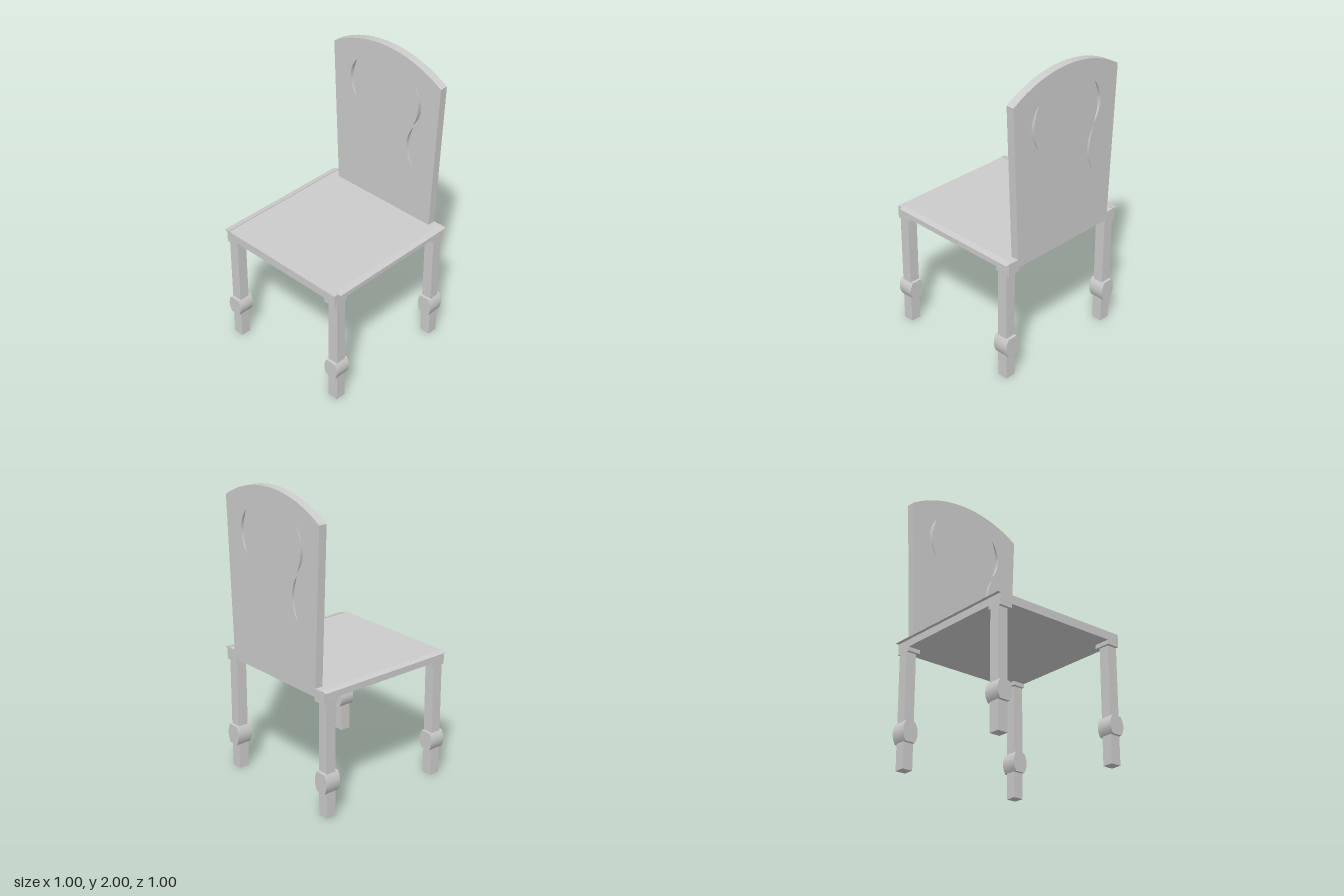
import * as THREE from 'three';

const material = new THREE.MeshStandardMaterial({ color: 0xcccccc, side: THREE.DoubleSide });

function add(group, geometry, name) {
  const mesh = new THREE.Mesh(geometry, material);
  mesh.name = name;
  group.add(mesh);
}

function box(x0, x1, y0, y1, z0, z1) {
  return new THREE.BoxGeometry(x1 - x0, y1 - y0, z1 - z0)
    .translate((x0 + x1) / 2, (y0 + y1) / 2, (z0 + z1) / 2);
}

// Extrudes a (z, y) profile along x, from x0 to x1
function extrudeX(shape, x0, x1) {
  return new THREE.ExtrudeGeometry(shape, { depth: x1 - x0, bevelEnabled: false, curveSegments: 16 })
    .rotateY(-Math.PI / 2).translate(x1, 0, 0);
}

// Crescent between two bowed curves that share their tips
function crescent(side, tip, yTop, yBottom, outer, inner) {
  const mid = (yTop + yBottom) / 2;
  const path = new THREE.Path();
  path.moveTo(side * tip, yTop);
  path.quadraticCurveTo(side * (2 * outer - tip), mid, side * tip, yBottom);
  path.quadraticCurveTo(side * (2 * inner - tip), mid, side * tip, yTop);
  return path;
}
const upperCut = (side) => crescent(side, 0.24, 1.82, 1.535, 0.299, 0.273);
const lowerCut = (side) => crescent(side, 0.243, 1.522, 1.225, 0.19, 0.211);

// Tapered back panel with an arched top; lowerSides lists which lower crescents are cut
function backShape(lowerSides) {
  const halfWidth = 0.445, shoulder = 1.87, rise = 0.13;
  const radius = (halfWidth ** 2 + rise ** 2) / (2 * rise);
  const angle = Math.asin(halfWidth / radius);
  const shape = new THREE.Shape();
  shape.moveTo(-0.4, 0.795);
  shape.lineTo(0.4, 0.795);
  shape.lineTo(halfWidth, shoulder);
  shape.absarc(0, 2 - radius, radius, Math.PI / 2 - angle, Math.PI / 2 + angle, false);
  shape.closePath();
  shape.holes.push(upperCut(1), upperCut(-1), ...lowerSides.map(lowerCut));
  return shape;
}

// Barrel-sided knob profile around a leg
function knobShape(yBottom) {
  const top = 0.305, mid = (top + yBottom) / 2;
  const shape = new THREE.Shape();
  shape.moveTo(-0.035, yBottom);
  shape.lineTo(0.035, yBottom);
  shape.quadraticCurveTo(0.074, mid, 0.035, top);
  shape.lineTo(-0.035, top);
  shape.quadraticCurveTo(-0.074, mid, -0.035, yBottom);
  return shape;
}

export function createModel() {
  const chair = new THREE.Group();
  chair.name = 'chair';

  // Seat slab with thin sloping lips along both sides
  add(chair, box(-0.5, 0.5, 0.795, 0.852, -0.48, 0.48), 'seat');
  for (const side of [1, -1]) {
    const lip = new THREE.Shape([
      [0.46, 0.857], [0.5, 0.849], [0.5, 0.846], [0.46, 0.842],
    ].map(([z, y]) => new THREE.Vector2(side * z, y)));
    add(chair, extrudeX(lip, side > 0 ? -0.465 : -0.5, 0.5), 'seatLip');
  }

  // Back panel in layers: upper crescents go through, one lower crescent is sunk in each face
  const back = new THREE.Group();
  back.name = 'backrest';
  add(back, extrudeX(backShape([1]), 0.445, 0.45), 'innerFace');
  add(back, extrudeX(backShape([1, -1]), 0.45, 0.495), 'core');
  add(back, extrudeX(backShape([-1]), 0.495, 0.5), 'outerFace');
  chair.add(back);

  // Four legs, each with a corner block and a knob
  for (const sx of [-1, 1]) {
    for (const sz of [-1, 1]) {
      const leg = new THREE.Group();
      leg.name = sx > 0 ? 'backrestLeg' : 'openSideLeg';
      add(leg, box(-0.036, 0.036, 0, 0.8, -0.036, 0.036), 'post');
      add(leg, box(-0.055, 0.055, 0.768, 0.797, -0.052, 0.035), 'cornerBlock');
      if (sz < 0) leg.children[1].geometry.rotateY(Math.PI);
      add(leg, extrudeX(knobShape(sx > 0 ? 0.172 : 0.185), -0.055, 0.055), 'knob');
      leg.position.set(sx * 0.444, 0, sz * 0.445);
      chair.add(leg);
    }
  }
  return chair;
}
